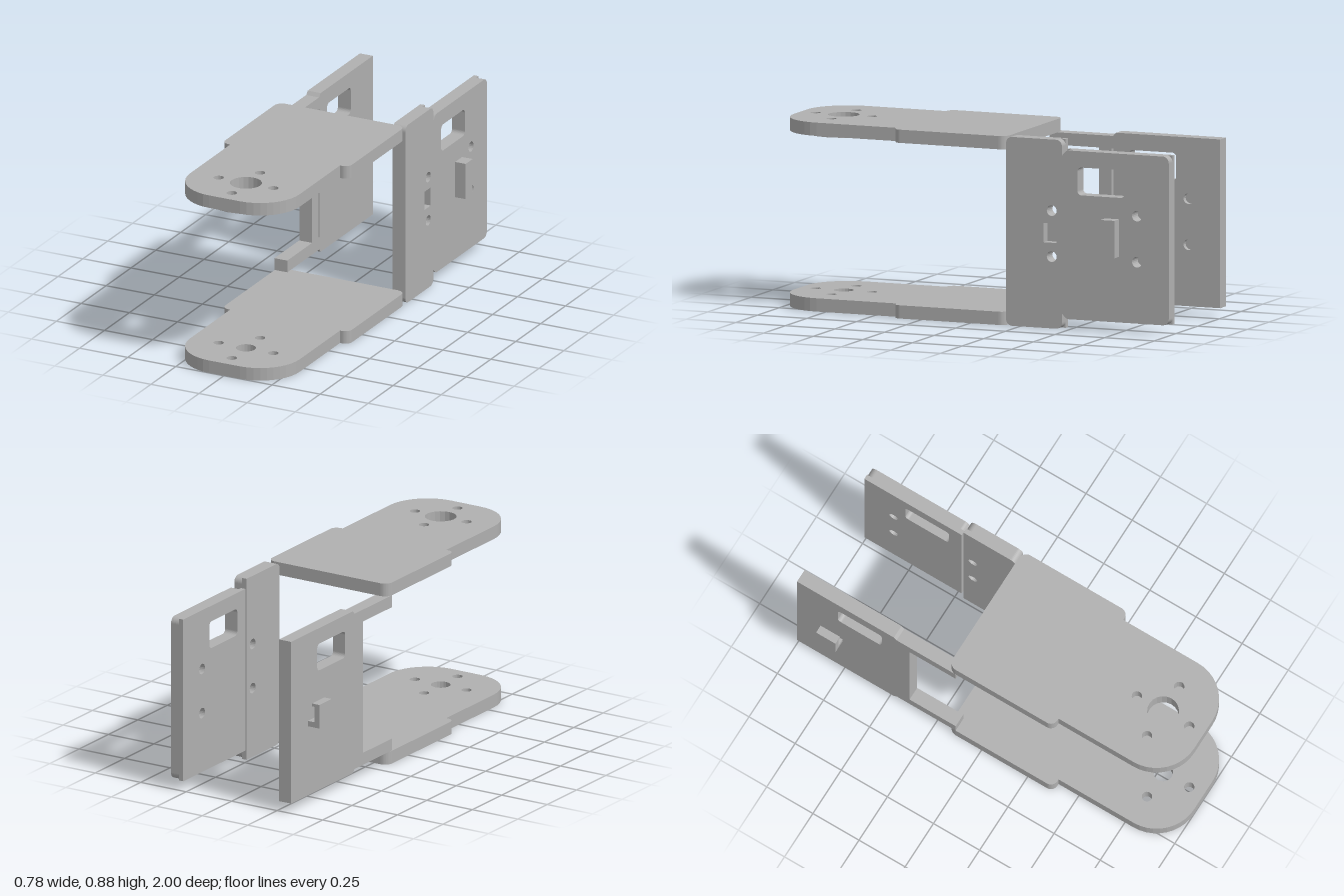
import * as THREE from 'three';

const gray = new THREE.MeshStandardMaterial({ color: 0xb0b0b0 });
gray.name = 'plain gray';

// Closed outline from [x, y, cornerRadius] points
function outline(points, Type = THREE.Shape) {
  const s = new Type();
  const n = points.length;
  points.forEach(([x, y, r = 0], i) => {
    const toward = ([px, py]) => {
      const d = Math.hypot(px - x, py - y);
      return [x + (px - x) * r / d, y + (py - y) * r / d];
    };
    const a = toward(points[(i + n - 1) % n]);
    const b = toward(points[(i + 1) % n]);
    if (i === 0) s.moveTo(...a); else s.lineTo(...a);
    if (r) {
      // cubic close to a circular fillet
      const k = 0.5523;
      s.bezierCurveTo(a[0] + (x - a[0]) * k, a[1] + (y - a[1]) * k,
        b[0] + (x - b[0]) * k, b[1] + (y - b[1]) * k, b[0], b[1]);
    }
  });
  s.closePath();
  return s;
}
const rect = (x0, y0, x1, y1, r = 0, Type = THREE.Shape) =>
  outline([[x0, y0, r], [x1, y0, r], [x1, y1, r], [x0, y1, r]], Type);
const circle = (x, y, r) => new THREE.Path().absarc(x, y, r, 0, Math.PI * 2, true);

function extrude(shape, holes, depth) {
  shape.holes.push(...holes);
  return new THREE.ExtrudeGeometry(shape, { depth, bevelEnabled: false, curveSegments: 10 });
}
function add(parent, name, geometry) {
  const m = new THREE.Mesh(geometry, gray);
  m.name = name;
  parent.add(m);
  return m;
}
// Upright slab: the shape is drawn as (-z, y) and spans x0..x1
const upright = (shape, holes, x0, x1) =>
  extrude(shape, holes, x1 - x0).rotateY(Math.PI / 2).translate(x0, 0, 0);
// Lying slab: the shape is drawn as (x, z) and spans y0..y1
const lying = (shape, holes, y0, y1) =>
  extrude(shape, holes, y1 - y0).rotateX(Math.PI / 2).translate(0, y1, 0);
const box = (x0, x1, y0, y1, z0, z1) =>
  new THREE.BoxGeometry(x1 - x0, y1 - y0, z1 - z0)
    .translate((x0 + x1) / 2, (y0 + y1) / 2, (z0 + z1) / 2);

const HOLE_Z = 0.782;
const plateOutline = () => outline([
  [-0.327, -0.18, 0.04], [0.333, -0.18, 0.04], [0.333, 0.39, 0.035], [0.288, 0.39],
  [0.288, 1, 0.205], [-0.282, 1, 0.205], [-0.282, 0.39], [-0.327, 0.39, 0.035],
]);
const plateHoles = (r) => [
  circle(0.002, HOLE_Z, r),
  ...[[-0.142, 0], [0.142, 0], [0, -0.142], [0, 0.142]]
    .map(([x, z]) => circle(0.002 + x, HOLE_Z + z, 0.024)),
];
const windowHole = () => rect(0.54, 0.63, 0.778, 0.76, 0.02, THREE.Path);
const screwHoles = (u) => [0.335, 0.55].map((y) => circle(u, y, 0.025));

export function createModel() {
  const model = new THREE.Group();
  model.name = 'bracket';

  // Horizontal plates with a rounded front and screw holes
  add(model, 'bottomPlate', lying(plateOutline(), plateHoles(0.046), 0, 0.062));
  add(model, 'topPlate', lying(plateOutline(), plateHoles(0.074), 0.82, 0.882));

  // Raised ring under the top plate, closing its small holes
  const ring = new THREE.Shape().absarc(0.003, HOLE_Z, 0.183, 0, Math.PI * 2);
  add(model, 'bearingRing', lying(ring, [circle(0.002, HOLE_Z, 0.074)], 0.8, 0.82));

  // Left wall: rounded outer skin, square-cornered inner skin in two leaves
  const left = new THREE.Group();
  left.name = 'leftWall';
  model.add(left);
  const skin = outline([
    [0.18, 0, 0.03], [0.462, 0, 0.03], [0.462, 0.072], [0.485, 0.048, 0.01], [1, 0.048, 0.03],
    [1, 0.836, 0.03], [0.485, 0.836, 0.01], [0.462, 0.81], [0.462, 0.882, 0.03], [0.18, 0.882, 0.03],
  ]);
  const pocket = rect(0.37, 0.4, 0.435, 0.49, 0, THREE.Path);
  add(left, 'outerSkin', upright(skin,
    [windowHole(), pocket, ...screwHoles(0.41), ...screwHoles(0.84)], 0.29, 0.333));
  const frontLeaf = outline([
    [0.18, 0, 0.03], [0.462, 0], [0.462, 0.882], [0.18, 0.882, 0.03],
  ]);
  add(left, 'innerFrontLeaf', upright(frontLeaf, screwHoles(0.41), 0.266, 0.29));
  add(left, 'innerRearLeaf', upright(rect(0.472, 0.048, 1, 0.836),
    [windowHole(), ...screwHoles(0.84)], 0.266, 0.29));
  add(left, 'sideBlock', box(0.333, 0.388, 0.355, 0.53, -0.75, -0.68));

  // Right wall: panel with two forward arms, holes only in the inner skin
  const right = new THREE.Group();
  right.name = 'rightWall';
  model.add(right);
  const panel = () => outline([
    [0.14, 0.064], [0.46, 0.064], [0.475, 0.048], [1, 0.048], [1, 0.836], [0.475, 0.836],
    [0.46, 0.82], [0.14, 0.82], [0.14, 0.762], [0.39, 0.762], [0.39, 0.122], [0.14, 0.122],
  ]);
  add(right, 'outerSkin', upright(panel(), [windowHole()], -0.327, -0.285));
  const slot = rect(0.452, 0.122, 0.462, 0.762, 0, THREE.Path);
  add(right, 'innerSkin', upright(panel(),
    [windowHole(), slot, ...screwHoles(0.84)], -0.285, -0.26));

  // Cable hook on the right wall
  const hook = outline([
    [-0.327, 0.385], [-0.327, 0.411], [-0.365, 0.411], [-0.365, 0.486],
    [-0.35, 0.486], [-0.35, 0.5], [-0.39, 0.5], [-0.39, 0.385],
  ]);
  add(right, 'cableHook', extrude(hook, [], 0.105).translate(0, 0, -0.858));

  return model;
}
